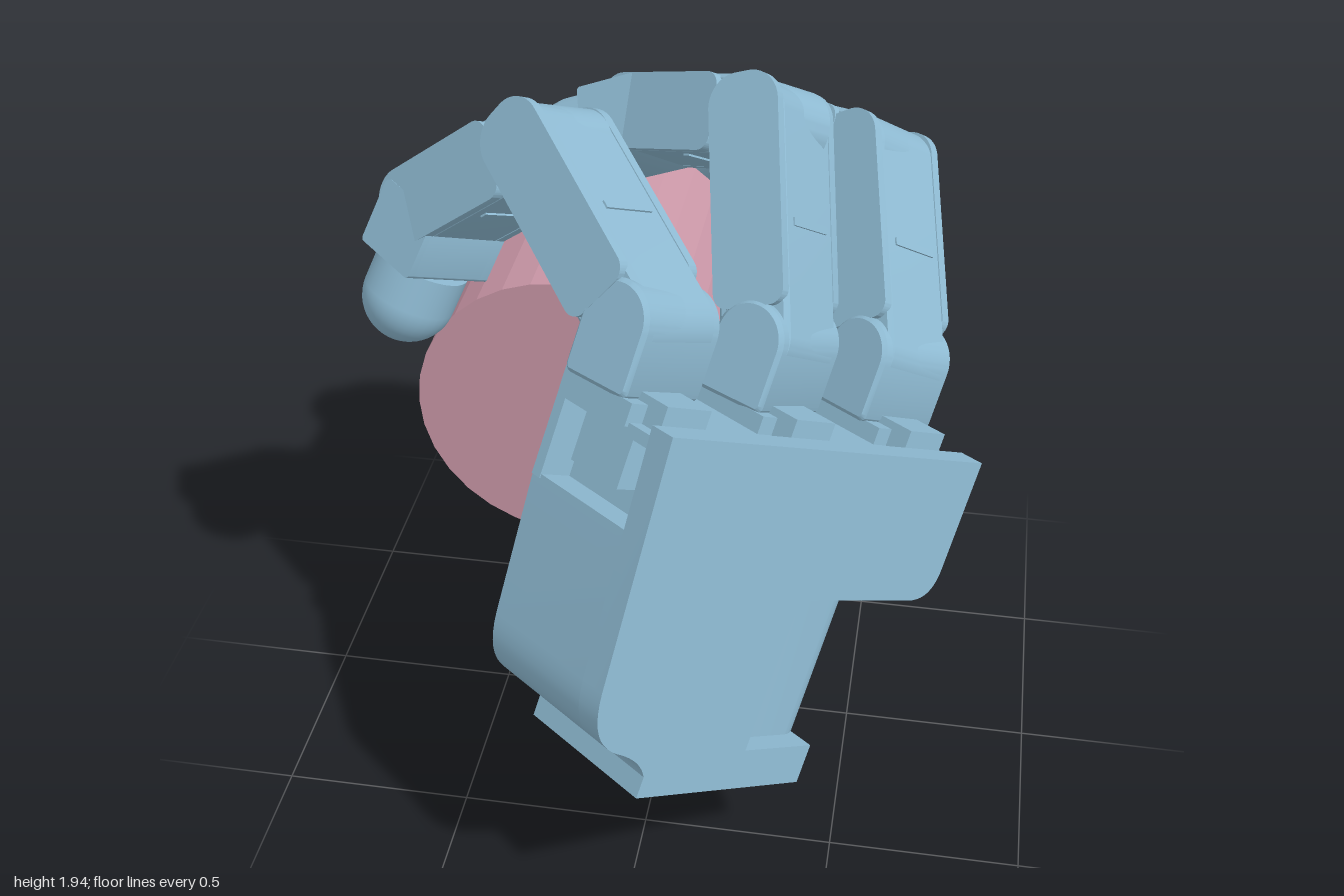
import * as THREE from 'three';
import { toCreasedNormals } from 'three/addons/utils/BufferGeometryUtils.js';

const V = (x, y, z) => new THREE.Vector3(x, y, z);
const blue = new THREE.MeshStandardMaterial({ color: 0x8fbbd3 });
const pink = new THREE.MeshStandardMaterial({ color: 0xc996a6, flatShading: true });

// Palm frame: U runs across the knuckles, W towards the fingers, N out of the back of the hand
const U = V(0.605, -0.463, -0.648).normalize();
const N = U.clone().cross(V(0.25, 0.879, -0.393)).normalize();
const W = N.clone().cross(U);
const ORIGIN = V(0.12, 1.46, 0.765);
const onPalm = (a, b, c) => ORIGIN.clone().addScaledVector(U, a).addScaledVector(W, b).addScaledVector(N, c);

function add(parent, name, geometry, material = blue) {
  const mesh = new THREE.Mesh(geometry, material);
  mesh.name = name;
  parent.add(mesh);
  return mesh;
}

function extrude(shape, z0, z1, bevel = 0) {
  const g = new THREE.ExtrudeGeometry(shape, {
    depth: z1 - z0 - 2 * bevel, curveSegments: 10, bevelEnabled: bevel > 0,
    bevelSize: bevel, bevelThickness: bevel, bevelOffset: -bevel, bevelSegments: 1,
  });
  g.translate(0, 0, z0 + bevel);
  return toCreasedNormals(g, 0.5);
}

// Rounded rectangle with separate radii for its lower and upper corners
function roundRect(x0, x1, y0, y1, rLow, rHigh) {
  const s = new THREE.Shape();
  s.moveTo(x0 + rLow, y0);
  s.lineTo(x1 - rLow, y0);
  s.absarc(x1 - rLow, y0 + rLow, rLow, -Math.PI / 2, 0);
  s.lineTo(x1, y1 - rHigh);
  s.absarc(x1 - rHigh, y1 - rHigh, rHigh, 0, Math.PI / 2);
  s.lineTo(x0 + rHigh, y1);
  s.absarc(x0 + rHigh, y1 - rHigh, rHigh, Math.PI / 2, Math.PI);
  s.lineTo(x0, y0 + rLow);
  s.absarc(x0 + rLow, y0 + rLow, rLow, Math.PI, Math.PI * 1.5);
  return s;
}

function block(parent, name, a0, a1, b0, b1, c0, c1) {
  add(parent, name, new THREE.BoxGeometry(a1 - a0, b1 - b0, c1 - c0))
    .position.set((a0 + a1) / 2, (b0 + b1) / 2, (c0 + c1) / 2);
}

// Palm outline; pocket cuts the free corner beside the first knuckle
function palmOutline(pocket, inset) {
  const s = new THREE.Shape(), e = 1.126 - inset;
  if (pocket) {
    s.moveTo(0.11, -inset);
    s.lineTo(0.11, -0.25);
    s.lineTo(0.022, -0.25);
  } else s.moveTo(0, 0);
  s.lineTo(0.05, -0.62);
  s.bezierCurveTo(0.06, -0.72, 0.1, -0.76, 0.16, -0.78);
  s.quadraticCurveTo(0.25, -0.8, 0.28, -0.85);
  s.lineTo(0.28, -0.907);
  s.lineTo(0.855, -0.907);
  s.lineTo(0.855, -0.8);
  s.lineTo(0.61, -0.8);
  s.lineTo(0.61, -0.44);
  s.quadraticCurveTo(0.61, -0.39, 0.66, -0.39);
  s.lineTo(e - 0.09, -0.39);
  s.quadraticCurveTo(e, -0.39, e, -0.3);
  s.lineTo(e, -inset);
  return s;
}

function buildPalm() {
  const palm = new THREE.Group();
  palm.name = 'palm';
  palm.applyMatrix4(new THREE.Matrix4().makeBasis(U, W, N).setPosition(ORIGIN));
  add(palm, 'backPlate', extrude(palmOutline(false, 0), -0.07, 0));
  add(palm, 'palmBody', extrude(palmOutline(true, 0.03), -0.41, -0.07));
  // Pocket in the side: inner wall and stepped blocks
  block(palm, 'pocketWall', 0.02, 0.12, -0.26, -0.03, -0.41, -0.38);
  block(palm, 'pocketStep', 0.05, 0.12, -0.19, -0.04, -0.33, -0.16);
  block(palm, 'pocketRim', 0.02, 0.12, -0.06, -0.03, -0.39, -0.07);
  // Motor mounts under each knuckle
  for (const a of [0.13, 0.563, 1.0]) {
    block(palm, 'knuckleMount', a - 0.12, a + 0.12, -0.04, 0.015, -0.4, -0.16);
    block(palm, 'mountStep', a - 0.07, a + 0.07, -0.04, 0.035, -0.22, -0.1);
    const collar = add(palm, 'knuckleCollar', new THREE.CylinderGeometry(0.08, 0.08, 0.08, 24));
    collar.position.set(a, 0.02, -0.3);
  }
  // Thumb motor housing, rounded where it shows through the notch of the plate
  const housing = add(palm, 'thumbMotor', extrude(roundRect(-0.17, 0.17, -0.21, 0.21, 0.08, 0.08), -0.23, 0.21));
  housing.rotation.x = -Math.PI / 2;
  housing.position.set(0.72, -0.57, -0.27);
  block(palm, 'thumbMount', 0.62, 0.95, -0.76, -0.44, -0.47, -0.2);
  return palm;
}

// Group at point p: y runs towards q, z along the hinge, x to the back of the hand
function linkFrame(name, p, q, hinge) {
  const y = q.clone().sub(p).normalize();
  const x = y.clone().cross(hinge).normalize();
  const z = x.clone().cross(y);
  const g = new THREE.Group();
  g.name = name;
  g.applyMatrix4(new THREE.Matrix4().makeBasis(x, y, z).setPosition(p));
  return g;
}

const T = 0.098, HALF = 0.1375;

// Finger link: motor core with a round hinge end, between two side plates
function link(name, p, q, hinge, endRadius) {
  const g = linkFrame(name, p, q, hinge), L = p.distanceTo(q);
  add(g, 'core', extrude(roundRect(-T, T, -T, L + T - 0.015, T - 0.001, endRadius), -0.118, 0.118, 0.012));
  for (const s of [-1, 1]) {
    add(g, 'sidePlate', extrude(roundRect(-T, T, 0.07, L + T, 0.04, endRadius), s * 0.124 - 0.0135, s * 0.124 + 0.0135));
  }
  add(g, 'strap', new THREE.BoxGeometry(2 * T + 0.01, 0.02, 0.16)).position.y = L * 0.5;
  return g;
}

// Last link: bracket with a recessed back, and a rounded tip
function tipLink(name, p, q, hinge) {
  const g = linkFrame(name, p, q, hinge), L = p.distanceTo(q), box = L - 0.1;
  add(g, 'hingeEnd', new THREE.CylinderGeometry(T, T, 0.236, 24)).rotation.x = Math.PI / 2;
  add(g, 'bracket', extrude(roundRect(-T, T - 0.04, 0, box, 0.01, 0.01), -0.118, 0.118));
  for (const s of [-1, 1]) {
    add(g, 'sidePlate', extrude(roundRect(-T, T, -0.02, box, 0.02, 0.01), s * 0.124 - 0.0135, s * 0.124 + 0.0135));
  }
  add(g, 'tipSleeve', new THREE.CylinderGeometry(0.12, 0.12, 0.1, 32)).position.y = L - 0.05;
  add(g, 'tipDome', new THREE.SphereGeometry(0.12, 32, 12, 0, Math.PI * 2, 0, Math.PI / 2)).position.y = L;
  return g;
}

// Chain from the base through the joints to the centre of the tip
function buildDigit(name, base, joints, endRadius) {
  const digit = new THREE.Group();
  digit.name = name;
  const [first, second] = joints;
  const tip = joints.at(-1), last = joints.at(-2);
  const hinge = second.clone().sub(first).cross(tip.clone().sub(last)).normalize();
  const knuckle = linkFrame('knuckle', base, first, hinge);
  const L = base.distanceTo(first);
  add(knuckle, 'knuckleBlock', extrude(roundRect(-T, T, 0.01, L + T, 0.02, T - 0.001), -HALF, HALF, 0.01));
  digit.add(knuckle);
  for (let i = 0; i < joints.length - 2; i++) {
    digit.add(link(`link${i + 1}`, joints[i], joints[i + 1], hinge, endRadius));
  }
  digit.add(tipLink('tipLink', last, tip, hinge));
  return digit;
}

export function createModel() {
  const model = new THREE.Group();
  model.name = 'roboticHandHoldingCylinder';

  // Held object
  const held = add(model, 'heldCylinder', new THREE.CylinderGeometry(0.395, 0.395, 0.79, 32), pink);
  held.rotation.x = Math.PI / 2;
  held.position.set(-0.285, 0.98, -0.345);

  model.add(buildPalm());

  // Three fingers: place across the palm, then joints up to the tip
  const fingers = [
    ['firstFinger', 0.13, V(-0.285, 1.768, 0.07), V(-0.585, 1.525, -0.03), V(-0.685, 1.295, 0.035)],
    ['middleFinger', 0.563, V(0.205, 1.735, -0.21), V(-0.11, 1.605, -0.43), V(-0.345, 1.495, -0.49)],
    ['lastFinger', 1.0, V(0.455, 1.48, -0.55), V(0.135, 1.42, -0.785), V(-0.07, 1.3, -0.88)],
  ];
  for (const [name, a, ...joints] of fingers) {
    model.add(buildDigit(name, onPalm(a, 0, -0.3), [onPalm(a, 0.164, -0.3), ...joints], 0.08));
  }

  // Thumb has one long link with a squarer end
  model.add(buildDigit('thumb', V(0.225, 0.37, 0.13),
    [V(0.14, 0.3, -0.04), V(-0.075, 0.125, -0.46), V(-0.27, 0.47, -0.61)], 0.03));
  return model;
}
